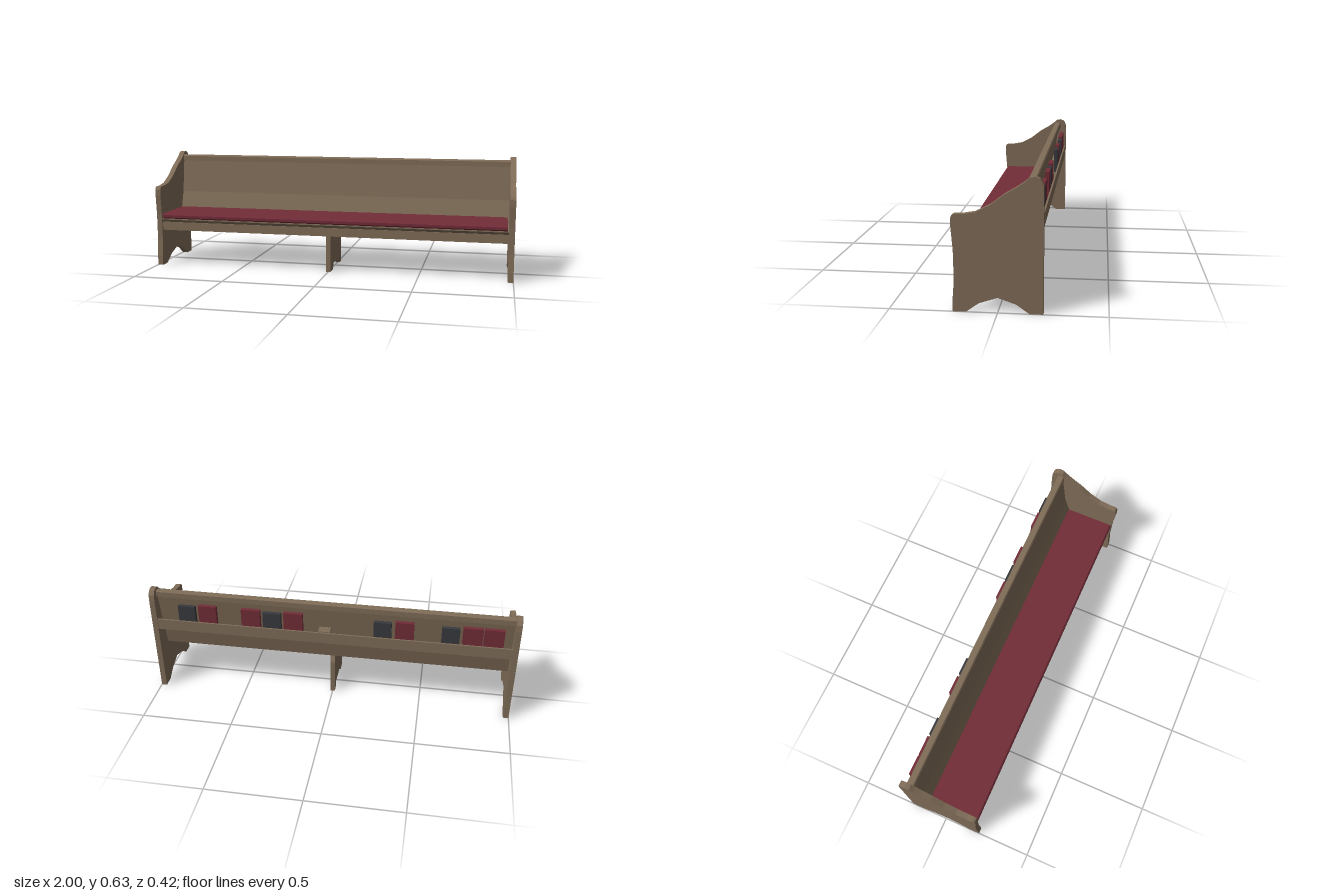
import * as THREE from 'three';

export function createModel() {
  const model = new THREE.Group();
  model.name = 'bench';

  const mat = (name, color) => {
    const m = new THREE.MeshStandardMaterial({ color });
    m.name = name;
    return m;
  };
  const wood = mat('wood', 0x806d58);
  const red = mat('wineRed', 0x722d38);
  const black = mat('charcoal', 0x38393d);

  const add = (name, geometry, material) => {
    const mesh = new THREE.Mesh(geometry, material);
    mesh.name = name;
    model.add(mesh);
    return mesh;
  };

  // Box given by its limits on each axis
  const box = (name, material, x0, x1, y0, y1, z0, z1) => {
    const mesh = add(name, new THREE.BoxGeometry(x1 - x0, y1 - y0, z1 - z0), material);
    mesh.position.set((x0 + x1) / 2, (y0 + y1) / 2, (z0 + z1) / 2);
    return mesh;
  };

  // Side profile of [z, y] points, extruded from x0 to x1
  const profile = (name, material, points, x0, x1) => {
    const shape = new THREE.Shape(points.map(([z, y]) => new THREE.Vector2(-z, y)));
    const geometry = new THREE.ExtrudeGeometry(shape, { depth: x1 - x0, bevelEnabled: false });
    geometry.rotateY(Math.PI / 2);
    geometry.translate(x0, 0, 0);
    return add(name, geometry, material);
  };

  // Shaped end panels with an arched foot
  const endPoints = [
    [0.205, 0], [0.205, 0.05], [0.197, 0.15], [0.199, 0.29], [0.208, 0.4],
    [0.208, 0.437], [0.202, 0.45], [0.19, 0.455], [0.155, 0.455], [0.098, 0.465],
    [0.03, 0.5], [-0.035, 0.55], [-0.09, 0.582], [-0.125, 0.607], [-0.145, 0.625],
    [-0.168, 0.629], [-0.19, 0.621], [-0.204, 0.6], [-0.207, 0.565], [-0.207, 0],
    [-0.145, 0], [-0.085, 0.043], [0, 0.072], [0.085, 0.043], [0.145, 0],
  ];
  profile('rightEndPanel', wood, endPoints, -1, -0.97);
  profile('leftEndPanel', wood, endPoints, 0.97, 1);

  // Centre support with a notched foot
  profile('centreSupport', wood, [
    [0.172, 0], [0.172, 0.255], [-0.09, 0.255], [-0.11, 0.2], [-0.11, 0],
    [-0.078, 0], [-0.058, 0.036], [0.09, 0.036], [0.11, 0],
  ], -0.013, 0.013);

  // Seat board with a chamfered front edge, apron and cushion
  const w = 0.97;
  profile('seatBoard', wood, [
    [-0.1, 0.25], [0.182, 0.25], [0.196, 0.264], [0.196, 0.27], [-0.1, 0.27],
  ], -w, w);
  box('frontApron', wood, -w, w, 0.203, 0.25, 0.17, 0.187);
  profile('cushion', red, [
    [-0.08, 0.27], [0.19, 0.27], [0.198, 0.277], [0.198, 0.291], [0.19, 0.3], [-0.08, 0.3],
  ], -0.963, 0.963);

  // Reclined back and its top rail
  profile('backrest', wood, [
    [-0.075, 0.24], [-0.075, 0.27], [-0.112, 0.39], [-0.14, 0.59],
    [-0.158, 0.59], [-0.13, 0.39], [-0.1, 0.24],
  ], -w, w);
  profile('topRail', wood, [
    [-0.132, 0.575], [-0.132, 0.603], [-0.138, 0.61], [-0.165, 0.61],
    [-0.17, 0.605], [-0.17, 0.575],
  ], -w, w);

  // Book rack behind the back
  box('rackShelf', wood, -w, w, 0.388, 0.4, -0.195, -0.115);
  box('rackBoard', wood, -w, w, 0.388, 0.45, -0.204, -0.195);

  // Small holder at the middle of the rack
  box('holderBlock', wood, 0, 0.065, 0.44, 0.455, -0.195, -0.145);

  // Books: [left edge, right edge, cover]
  const books = [
    [-0.92, -0.815, red], [-0.81, -0.705, red], [-0.69, -0.595, black],
    [-0.45, -0.35, red], [-0.33, -0.235, black],
    [0.15, 0.255, red], [0.27, 0.37, black], [0.385, 0.49, red],
    [0.63, 0.73, red], [0.75, 0.845, black],
  ];
  for (const [x0, x1, cover] of books) {
    box('book', cover, x0, x1, 0.4, cover === red ? 0.55 : 0.54, -0.194, -0.172);
  }

  return model;
}
